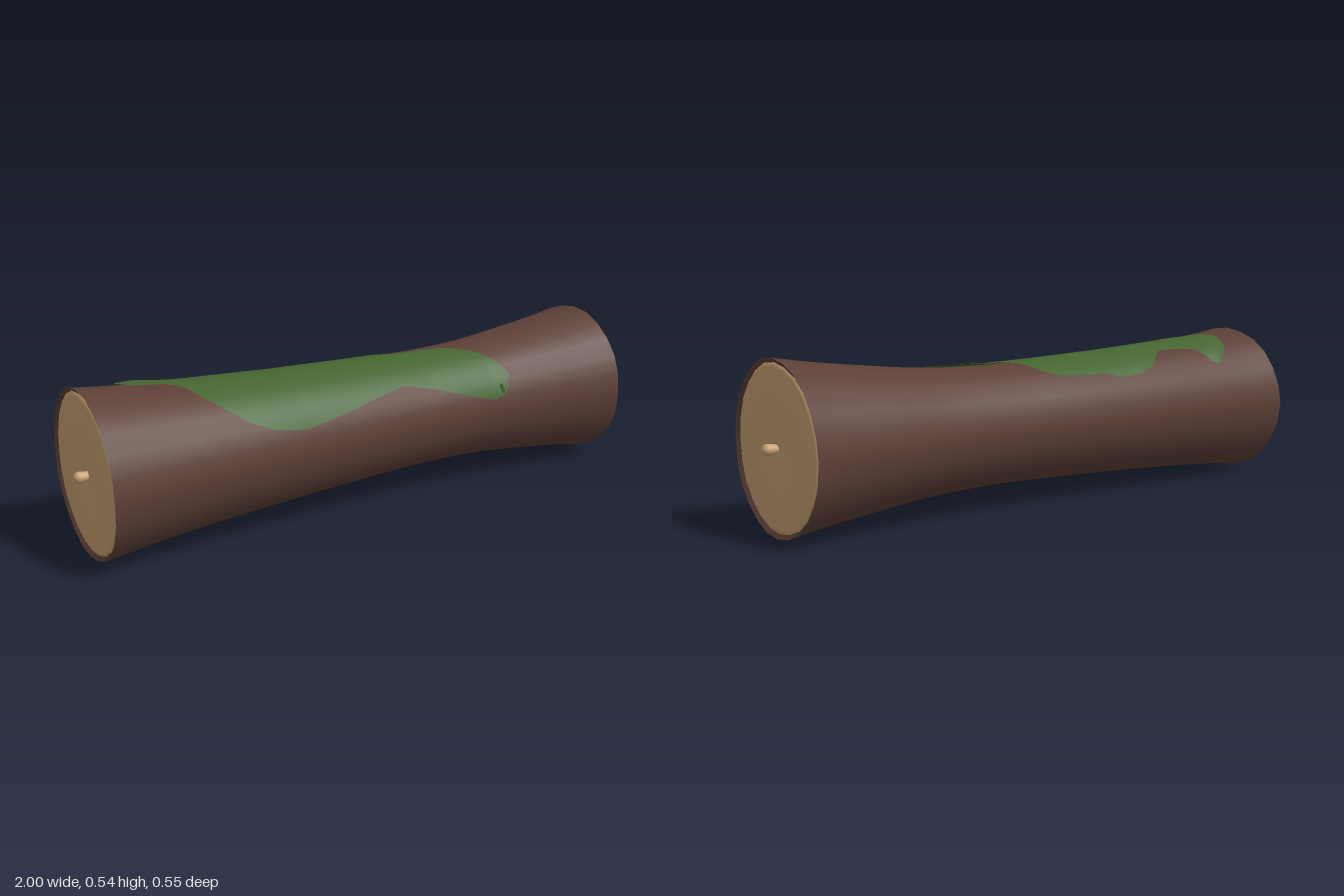
import * as THREE from 'three';

const bark = new THREE.MeshStandardMaterial({ name: 'bark brown', color: 0x5d4037 });
const wood = new THREE.MeshStandardMaterial({ name: 'cut wood', color: 0xc9a272 });
const moss = new THREE.MeshStandardMaterial({ name: 'moss green', color: 0x44652f, side: THREE.DoubleSide });

const AXIS_Y = 0.276;

// Radius of the log along its length
const PROFILE = [[-0.967, 0.271], [-0.8, 0.251], [-0.6, 0.235], [-0.3, 0.218], [0, 0.206], [0.2, 0.201],
  [0.45, 0.207], [0.7, 0.233], [0.85, 0.252], [0.967, 0.271]];

// Moss edges: z of the back edge, angle from the top (degrees) of the front edge
const MOSS_BACK = [[-0.825, -0.08], [-0.8, -0.14], [-0.77, -0.16], [-0.72, -0.19], [-0.69, -0.17], [-0.665, -0.12],
  [-0.6, -0.1], [-0.5, -0.09], [-0.42, -0.15], [-0.35, -0.165], [-0.25, -0.165], [-0.2, -0.148], [-0.1, -0.143],
  [0, -0.13], [0.06, -0.1], [0.1, -0.045], [0.15, -0.012], [0.25, 0], [0.35, 0.025], [0.45, 0.09], [0.5, 0.145], [0.52, 0.175]];
const MOSS_FRONT = [[-0.825, -14], [-0.8, -1], [-0.7, 2], [-0.65, 9], [-0.61, 27], [-0.55, 42], [-0.5, 53], [-0.42, 63],
  [-0.3, 68], [-0.15, 61], [0, 52], [0.1, 46], [0.2, 54], [0.35, 69], [0.45, 77], [0.49, 73], [0.51, 65], [0.52, 58]];

function sample(table, x) {
  let i = 0;
  while (i < table.length - 2 && x > table[i + 1][0]) i++;
  const [x0, a] = table[i], [x1, b] = table[i + 1];
  return THREE.MathUtils.lerp(a, b, THREE.MathUtils.clamp((x - x0) / (x1 - x0), 0, 1));
}

// Uneven rim, fading out toward the middle of the log
function wobble(x, angle) {
  const t = Math.pow(Math.abs(x), 4);
  return 1 + t * (0.008 * Math.sin(3 * angle + 0.6) + 0.006 * Math.sin(7 * angle) - 0.005 * Math.cos(2 * angle));
}

// Turn a [radius, x] profile around the log's axis
function turned(profile, material, name) {
  const g = new THREE.LatheGeometry(profile.map(([r, x]) => new THREE.Vector2(r, x)), 24);
  g.rotateZ(-Math.PI / 2);
  const p = g.attributes.position;
  for (let i = 0; i < p.count; i++) {
    const k = wobble(p.getX(i), Math.atan2(p.getZ(i), p.getY(i)));
    p.setY(i, p.getY(i) * k);
    p.setZ(i, p.getZ(i) * k);
  }
  const mesh = new THREE.Mesh(g, material);
  mesh.name = name;
  return mesh;
}

function mossPatch() {
  const nx = 110, nv = 20, pos = [], idx = [];
  for (let i = 0; i <= nx; i++) {
    const x = -0.825 + 1.345 * i / nx, r = sample(PROFILE, x);
    const back = Math.asin(sample(MOSS_BACK, x) / r);
    const front = THREE.MathUtils.degToRad(sample(MOSS_FRONT, x));
    const lump = 0.008 * Math.exp(-Math.pow((x + 0.76) / 0.06, 2));
    for (let j = 0; j <= nv; j++) {
      const v = j / nv, a = THREE.MathUtils.lerp(back, front, v);
      const rr = r * wobble(x, a) + 0.004 + lump * Math.sin(Math.PI * v);
      pos.push(x, rr * Math.cos(a), rr * Math.sin(a));
      if (i < nx && j < nv) {
        const k = i * (nv + 1) + j;
        idx.push(k, k + 1, k + nv + 1, k + 1, k + nv + 2, k + nv + 1);
      }
    }
  }
  const g = new THREE.BufferGeometry();
  g.setAttribute('position', new THREE.Float32BufferAttribute(pos, 3));
  g.setIndex(idx);
  g.computeVertexNormals();
  const mesh = new THREE.Mesh(g, moss);
  mesh.name = 'mossPatch';
  return mesh;
}

// Thin tapered sprig between two points
function sprig(from, to, r) {
  const a = new THREE.Vector3(...from), d = new THREE.Vector3(...to).sub(a);
  const g = new THREE.CylinderGeometry(r * 0.5, r, d.length(), 6);
  g.translate(0, d.length() / 2, 0);
  const mesh = new THREE.Mesh(g, moss);
  mesh.quaternion.setFromUnitVectors(new THREE.Vector3(0, 1, 0), d.normalize());
  mesh.position.copy(a);
  mesh.name = 'mossSprig';
  return mesh;
}

export function createModel() {
  const group = new THREE.Group();
  group.name = 'mossyLog';
  const log = new THREE.Group();
  log.name = 'log';
  log.position.y = AXIS_Y;
  group.add(log);

  // Bark shell with smooth waisted sides
  const curve = new THREE.SplineCurve(PROFILE.map(([x, r]) => new THREE.Vector2(r, x)));
  log.add(turned(curve.getPoints(36).map((p) => [p.x, p.y]), bark, 'barkShell'));

  // Bark rim, cut face and centre pin at both ends
  for (const side of [1, -1]) {
    const end = new THREE.Group();
    end.name = side > 0 ? 'leftEnd' : 'rightEnd';
    end.rotation.y = side > 0 ? 0 : Math.PI;
    end.add(turned([[0.271, 0.967], [0.257, 0.958]], bark, 'barkRim'));
    end.add(turned([[0.262, 0.945], [0.258, 0.957], [0.245, 0.962], [0.15, 0.963], [0.04, 0.962], [0.018, 0.955], [0, 0.953]],
      wood, 'cutFace'));
    const pin = turned([[0.012, 0.945], [0.016, 0.968], [0.018, 0.985], [0.014, 0.997], [0, 1]], wood, 'centrePin');
    pin.position.z = 0.01 * side;
    end.add(pin);
    log.add(end);
  }

  // Moss and its little sprigs
  log.add(mossPatch());
  log.add(sprig([0.495, 0.09, 0.17], [0.435, 0.1, 0.262], 0.008));
  log.add(sprig([0.5, 0.08, 0.18], [0.455, 0.085, 0.235], 0.007));
  return group;
}
